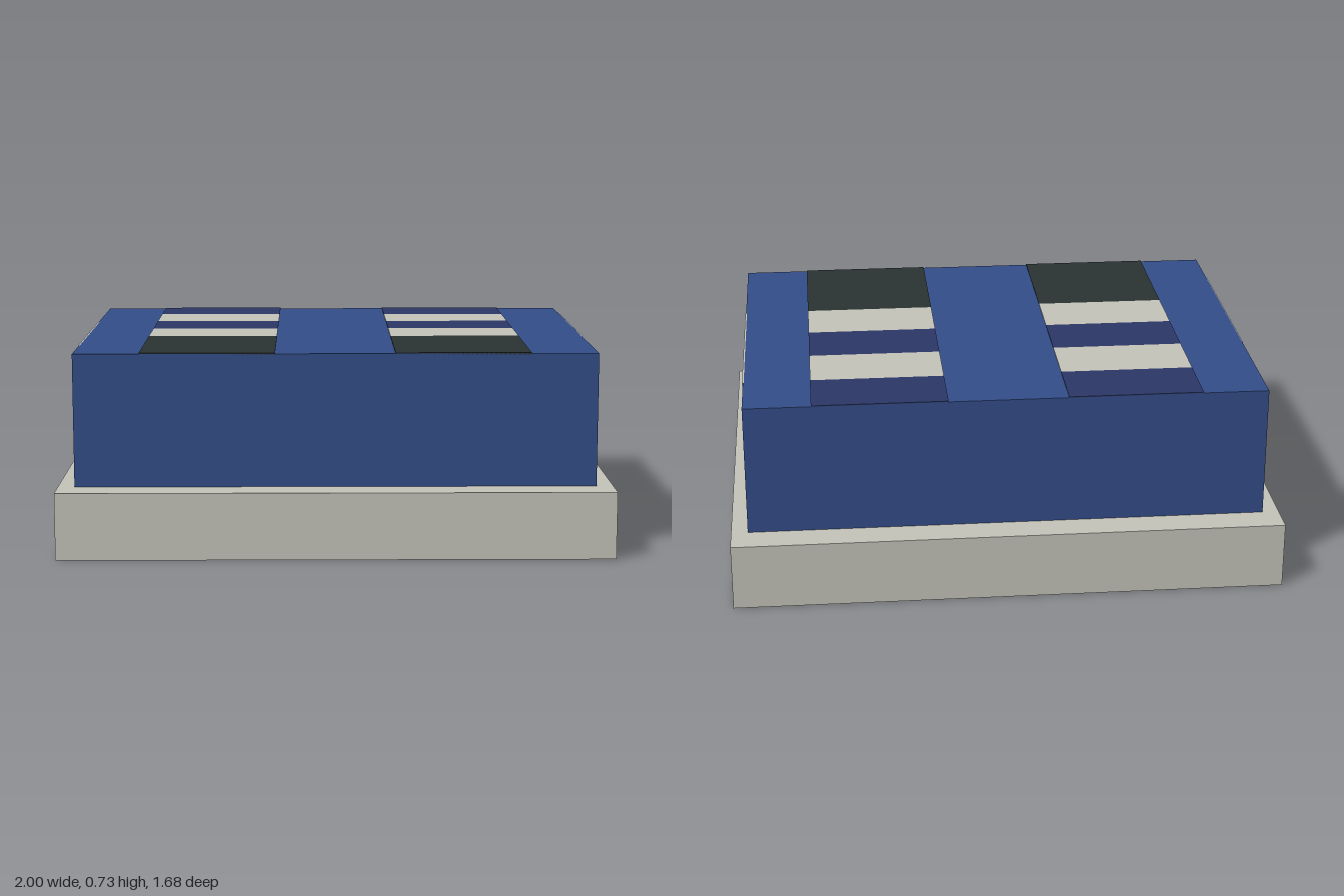
import * as THREE from 'three';

const mat = (name, hex) => {
  const m = new THREE.MeshStandardMaterial({ color: hex });
  m.name = name;
  return m;
};

export function createModel() {
  const stone = mat('stone', 0xc6c5bb);
  const blue = mat('blue', 0x344e8a);
  const navy = mat('navy', 0x2b3867);
  const charcoal = mat('charcoal', 0x2b3333);
  const model = new THREE.Group();
  model.name = 'blockOnPlinth';

  // Box given by its [min, max] extent on each axis
  const box = (name, material, [x0, x1], [y0, y1], [z0, z1]) => {
    const mesh = new THREE.Mesh(new THREE.BoxGeometry(x1 - x0, y1 - y0, z1 - z0), material);
    mesh.position.set((x0 + x1) / 2, (y0 + y1) / 2, (z0 + z1) / 2);
    mesh.name = name;
    model.add(mesh);
  };

  const T = 0.003; // painted plate thickness
  const W = 0.94, D = 0.725, BASE = 0.243, TOP = 0.725, MID = 0.483;

  // Plinth and main block
  box('plinth', stone, [-1, 1], [0, BASE], [-0.842, 0.842]);
  box('block', blue, [-W, W], [BASE, TOP], [-D, D]);

  // Two columns of coloured panels on the top, back to front
  const rows = [
    ['backPanel', navy, -D, -0.485],
    ['backStripe', stone, -0.485, -0.243],
    ['middlePanel', navy, -0.243, 0],
    ['frontStripe', stone, 0, 0.24],
    ['frontPanel', charcoal, 0.24, D],
  ];
  for (const [x0, x1] of [[-0.703, -0.218], [0.212, 0.698]]) {
    for (const [name, material, z0, z1] of rows) {
      box(name, material, [x0, x1], [TOP - T, TOP + T], [z0, z1]);
    }
  }

  // Stepped panels on both ends, turned half round from one to the other
  for (const s of [1, -1]) {
    const range = (a, b) => (s > 0 ? [a, b] : [-b, -a]);
    const x = range(W - T, W + T);
    box('upperSidePanel', stone, x, [MID, TOP], range(-0.483, 0.243));
    box('lowerSidePanel', stone, x, [BASE, MID], range(0.243, 0.483));
  }
  return model;
}
